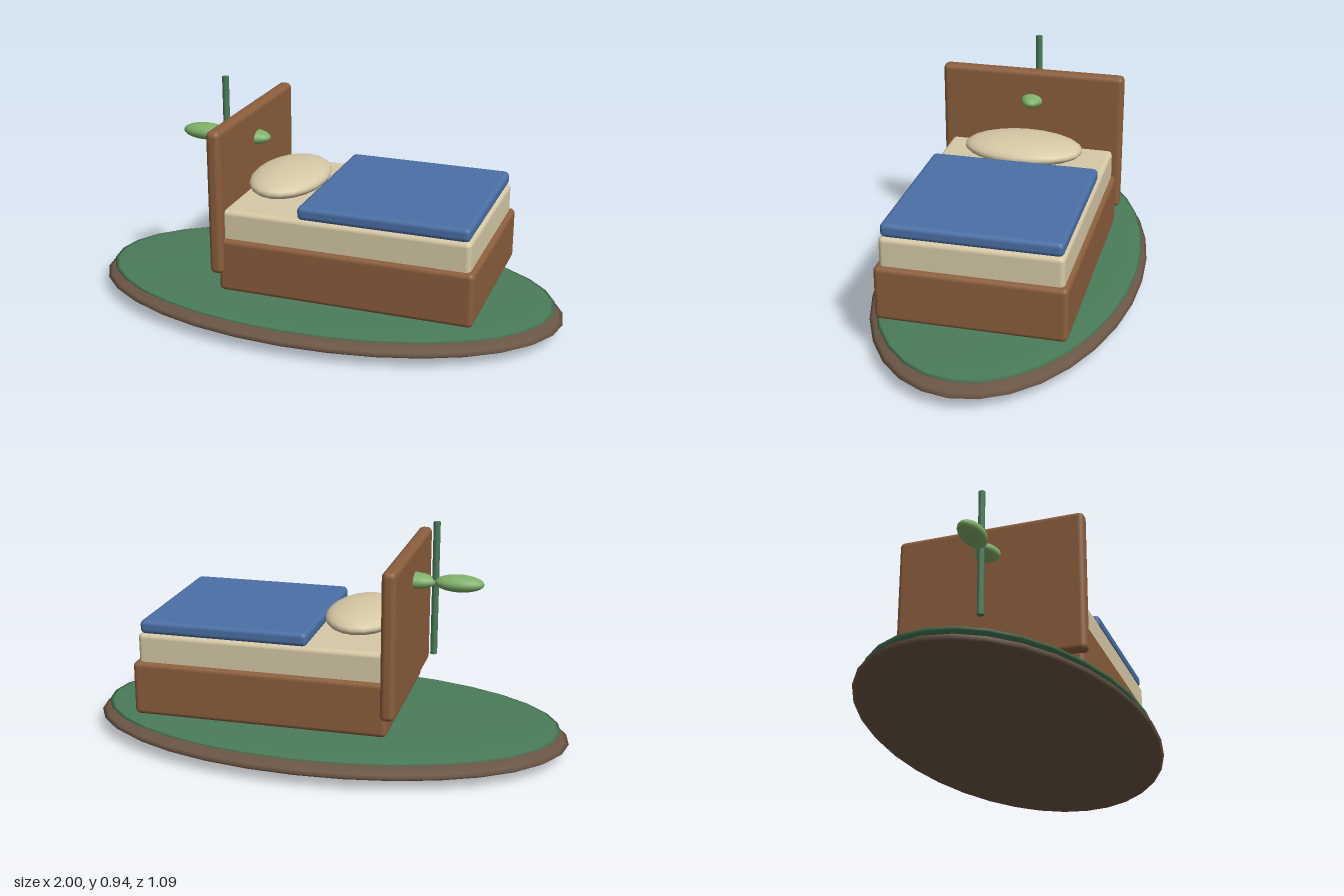
import * as THREE from 'three';
import { RoundedBoxGeometry } from 'three/addons/geometries/RoundedBoxGeometry.js';

const mat = (name, color) => {
  const m = new THREE.MeshStandardMaterial({ color });
  m.name = name;
  return m;
};

export function createModel() {
  const wood = mat('wood', 0x8b5e3c);
  const cream = mat('cream', 0xd6c9a6);
  const blue = mat('blue', 0x4a6fa5);
  const grassGreen = mat('grassGreen', 0x4a7c59);
  const leafGreen = mat('leafGreen', 0x7fb069);
  const earth = mat('earth', 0x6b5645);

  const group = new THREE.Group();
  const add = (name, geometry, material, x, y, z = 0) => {
    const mesh = new THREE.Mesh(geometry, material);
    mesh.name = name;
    mesh.position.set(x, y, z);
    group.add(mesh);
    return mesh;
  };
  // Rounded box from its x and y extents, centred on z
  const box = (name, material, x0, x1, y0, y1, depth, radius) =>
    add(name, new RoundedBoxGeometry(x1 - x0, y1 - y0, depth, 3, radius),
      material, (x0 + x1) / 2, (y0 + y1) / 2);
  // Ellipsoid from its centre and half sizes
  const blob = (name, material, x, y, rx, ry, rz, w = 32, h = 16) =>
    add(name, new THREE.SphereGeometry(1, w, h), material, x, y).scale.set(rx, ry, rz);

  // Floating island: earth disc with a grass cap
  blob('islandEarth', earth, 0, 0.059, 1, 0.057, 0.545);
  blob('islandGrass', grassGreen, 0, 0.105, 0.965, 0.018, 0.523);

  // Bed
  box('bedFrame', wood, -0.325, 0.715, 0.163, 0.385, 0.742, 0.02);
  box('headboard', wood, -0.357, -0.3, 0.238, 0.832, 0.78, 0.022);
  box('mattress', cream, -0.315, 0.695, 0.34, 0.502, 0.706, 0.02);
  box('blanket', blue, 0, 0.688, 0.498, 0.555, 0.694, 0.02);
  blob('pillow', cream, -0.155, 0.548, 0.155, 0.052, 0.25, 20, 14);

  // Sprout behind the headboard
  add('stem', new THREE.CylinderGeometry(0.014, 0.014, 0.545, 10), grassGreen, -0.44, 0.672);
  for (const side of [-1, 1]) {
    blob('leaf', leafGreen, -0.44 + side * 0.095, 0.7, 0.1, 0.034, 0.052, 20, 14);
  }
  return group;
}
